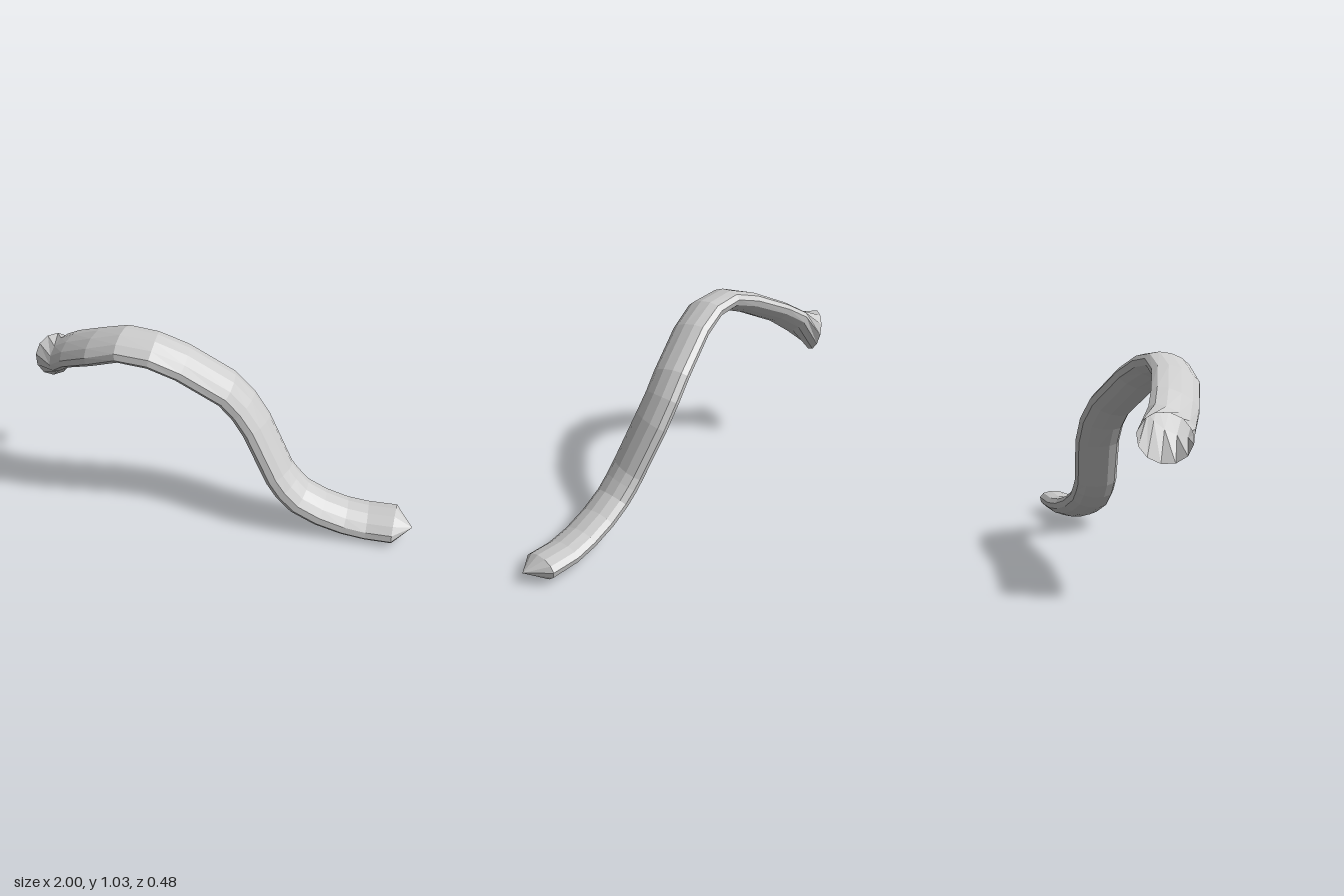
import * as THREE from 'three';

const SIDES = 12;

// Cross-sections from the pointed end to the open end:
// centre x, y, z, half width, half thickness
const SECTIONS = [
  [1.0, 0.078, 0.12, 0, 0],
  [0.91, 0.072, 0.1, 0.116, 0.06],
  [0.77, 0.07, 0.095, 0.116, 0.058],
  [0.655, 0.088, 0.098, 0.114, 0.059],
  [0.53, 0.13, 0.102, 0.114, 0.061],
  [0.42, 0.19, 0.105, 0.114, 0.062],
  [0.355, 0.255, 0.1, 0.115, 0.063],
  [0.31, 0.315, 0.094, 0.115, 0.061],
  [0.182, 0.555, 0.048, 0.117, 0.06],
  [0.11, 0.662, 0.04, 0.116, 0.059],
  [0.03, 0.753, 0.05, 0.115, 0.059],
  [-0.175, 0.902, 0.097, 0.115, 0.057],
  [-0.31, 0.965, 0.118, 0.116, 0.056],
  [-0.455, 0.98, 0.113, 0.117, 0.055],
  [-0.6, 0.928, 0.074, 0.118, 0.055],
  [-0.765, 0.845, -0.022, 0.115, 0.052],
  [-0.85, 0.78, -0.085, 0.113, 0.056],
  [-0.925, 0.722, -0.157, 0.116, 0.11],
];
const RIM_DIRECTION = new THREE.Vector3(-0.77, -0.22, -0.62).normalize();
const TILT = 0.26; // the front edge of each section hangs lower

// Skins the oval sections into one tube, a cone at the start, open at the end
function makeTube() {
  const centres = SECTIONS.map(([x, y, z]) => new THREE.Vector3(x, y, z));
  const last = centres.length - 1;
  const positions = [];
  const index = [];

  SECTIONS.forEach(([, , , halfWidth, halfThickness], i) => {
    const along = i === last
      ? RIM_DIRECTION
      : centres[i + 1].clone().sub(centres[Math.max(i - 1, 0)]).normalize();
    const wide = new THREE.Vector3(0, 0, 1).addScaledVector(along, -along.z).normalize();
    const up = along.clone().cross(wide);
    wide.addScaledVector(up, i === last ? 0 : -TILT).normalize();
    up.crossVectors(along, wide);

    for (let j = 0; j < SIDES; j++) {
      const a = (j / SIDES) * Math.PI * 2;
      const p = centres[i].clone()
        .addScaledVector(wide, halfWidth * Math.cos(a))
        .addScaledVector(up, halfThickness * Math.sin(a));
      positions.push(p.x, p.y, p.z);
    }
  });

  for (let i = 0; i < last; i++) {
    for (let j = 0; j < SIDES; j++) {
      const k = (j + 1) % SIDES;
      const a = i * SIDES + j, b = i * SIDES + k;
      const c = b + SIDES, d = a + SIDES;
      if (i > 0) index.push(a, b, c);
      index.push(a, c, d);
    }
  }

  const geometry = new THREE.BufferGeometry();
  geometry.setAttribute('position', new THREE.Float32BufferAttribute(positions, 3));
  geometry.setIndex(index);
  geometry.computeVertexNormals();
  return geometry;
}

export function createModel() {
  const group = new THREE.Group();
  group.name = 'curvedTail';
  const material = new THREE.MeshStandardMaterial({
    color: 0xcccccc, flatShading: true, side: THREE.DoubleSide,
  });
  const tube = new THREE.Mesh(makeTube(), material);
  tube.name = 'tailBody';
  group.add(tube);
  return group;
}
